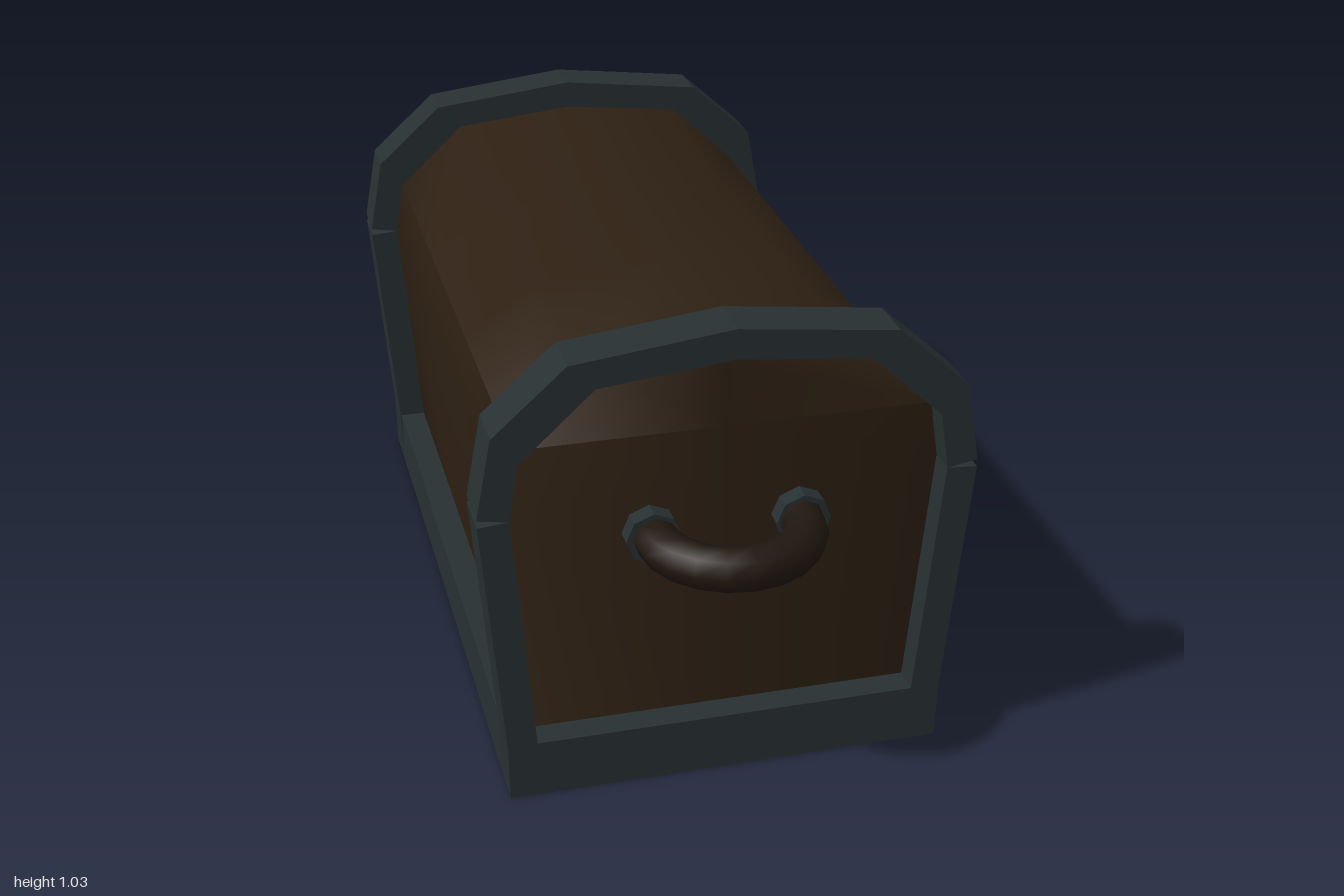
import * as THREE from 'three';

const wood = new THREE.MeshStandardMaterial({ color: 0x2e2013 });
const iron = new THREE.MeshStandardMaterial({ color: 0x273031, flatShading: true });
const handleMat = new THREE.MeshStandardMaterial({ color: 0x20170f });

const END = 0.82, INNER = 0.71, PANEL = 0.76;

function part(parent, name, geometry, material, x = 0, y = 0, z = 0) {
  const mesh = new THREE.Mesh(geometry, material);
  mesh.name = name;
  mesh.position.set(x, y, z);
  parent.add(mesh);
  return mesh;
}

function plate(points, depth) {
  const shape = new THREE.Shape(points.map(([x, y]) => new THREE.Vector2(x, y)));
  return new THREE.ExtrudeGeometry(shape, { depth, bevelEnabled: false });
}

// Wooden body: arched section swept along z, with a lid that sags in the middle
function bodyGeometry() {
  // the doubled point creases the wall from the lid
  const right = [[0.41, 0.004], [0.41, 0.13], [0.455, 0.665], [0.435, 0.79], [0.435, 0.79], [0.28, 0.935]];
  const ring = [...right, [0, 0.965], ...right.map(([x, y]) => [-x, y]).reverse()];
  const n = ring.length;
  const zs = [-PANEL, -0.23, 0.23, PANEL];
  const pos = [], idx = [];
  const quad = (a, b, c, d) => idx.push(a, b, c, a, c, d);
  for (const z of zs) {
    const sag = Math.abs(z) < 0.5 ? 0.036 : 0;
    for (const [x, y] of ring) pos.push(x, y > 0.8 ? y - sag : y, z);
  }
  for (let j = 0; j < zs.length - 1; j++) {
    for (let i = 0; i < n; i++) {
      const k = (i + 1) % n;
      quad(j * n + i, j * n + k, (j + 1) * n + k, (j + 1) * n + i);
    }
  }
  // end panels, split down the middle
  for (const front of [false, true]) {
    const base = front ? (zs.length - 1) * n : 0;
    const mid = pos.length / 3;
    for (const [, y] of right) pos.push(0, y, front ? PANEL : -PANEL);
    const apex = base + right.length;
    const centre = (k) => (k === right.length ? apex : mid + k);
    for (let k = 0; k < right.length; k++) {
      const r0 = base + k, r1 = base + k + 1;
      const l0 = base + n - 1 - k, l1 = base + n - 2 - k;
      const c0 = centre(k), c1 = centre(k + 1);
      if (front) {
        quad(r0, r1, c1, c0);
        quad(c0, c1, l1, l0);
      } else {
        quad(c0, c1, r1, r0);
        quad(l0, l1, c1, c0);
      }
    }
  }
  const g = new THREE.BufferGeometry();
  g.setAttribute('position', new THREE.Float32BufferAttribute(pos, 3));
  g.setIndex(idx);
  g.computeVertexNormals();
  return g;
}

// Ironwork and handle for the front end; turned around for the back
function createEnd(name) {
  const end = new THREE.Group();
  end.name = name;
  const depth = END - INNER;

  const outer = [[0.52, 0.677], [0.488, 0.852], [0.335, 0.99]];
  const inner = [[0.455, 0.666], [0.435, 0.79], [0.28, 0.935]];
  const mirror = (pts) => pts.map(([x, y]) => [-x, y]).reverse();
  const arch = [...outer, [0, 1.03], ...mirror(outer),
    ...mirror(inner).reverse(), [0, 0.965], ...inner.slice().reverse()];
  part(end, 'lidArch', plate(arch, depth), iron, 0, 0, INNER);

  const post = [[0.41, 0], [0.47, 0], [0.473, 0.13], [0.52, 0.661], [0.455, 0.666], [0.41, 0.13]];
  part(end, 'leftPost', plate(post, depth), iron, 0, 0, INNER);
  part(end, 'rightPost', plate(mirror(post), depth), iron, 0, 0, INNER);
  part(end, 'endRail', new THREE.BoxGeometry(0.82, 0.13, END - PANEL), iron, 0, 0.065, (END + PANEL) / 2);

  // half-ring handle with faceted collars
  const ring = new THREE.TorusGeometry(0.155, 0.047, 8, 10, Math.PI).rotateX(Math.PI / 2);
  part(end, 'handle', ring, handleMat, 0, 0.573, 0.798);
  for (const s of [-1, 1]) {
    const collar = new THREE.CylinderGeometry(0.058, 0.058, 0.05, 8).rotateX(Math.PI / 2);
    part(end, 'handleCollar', collar, iron, s * 0.158, 0.573, 0.775);
  }
  return end;
}

export function createModel() {
  const chest = new THREE.Group();
  chest.name = 'chest';
  part(chest, 'woodenBody', bodyGeometry(), wood);

  const front = createEnd('frontEnd');
  const back = createEnd('backEnd');
  back.rotation.y = Math.PI;
  chest.add(front, back);

  // rails along the foot of each long side
  for (const s of [-1, 1]) {
    part(chest, s > 0 ? 'leftRail' : 'rightRail',
      new THREE.BoxGeometry(0.06, 0.13, 2 * INNER), iron, s * 0.44, 0.065, 0);
  }
  return chest;
}
